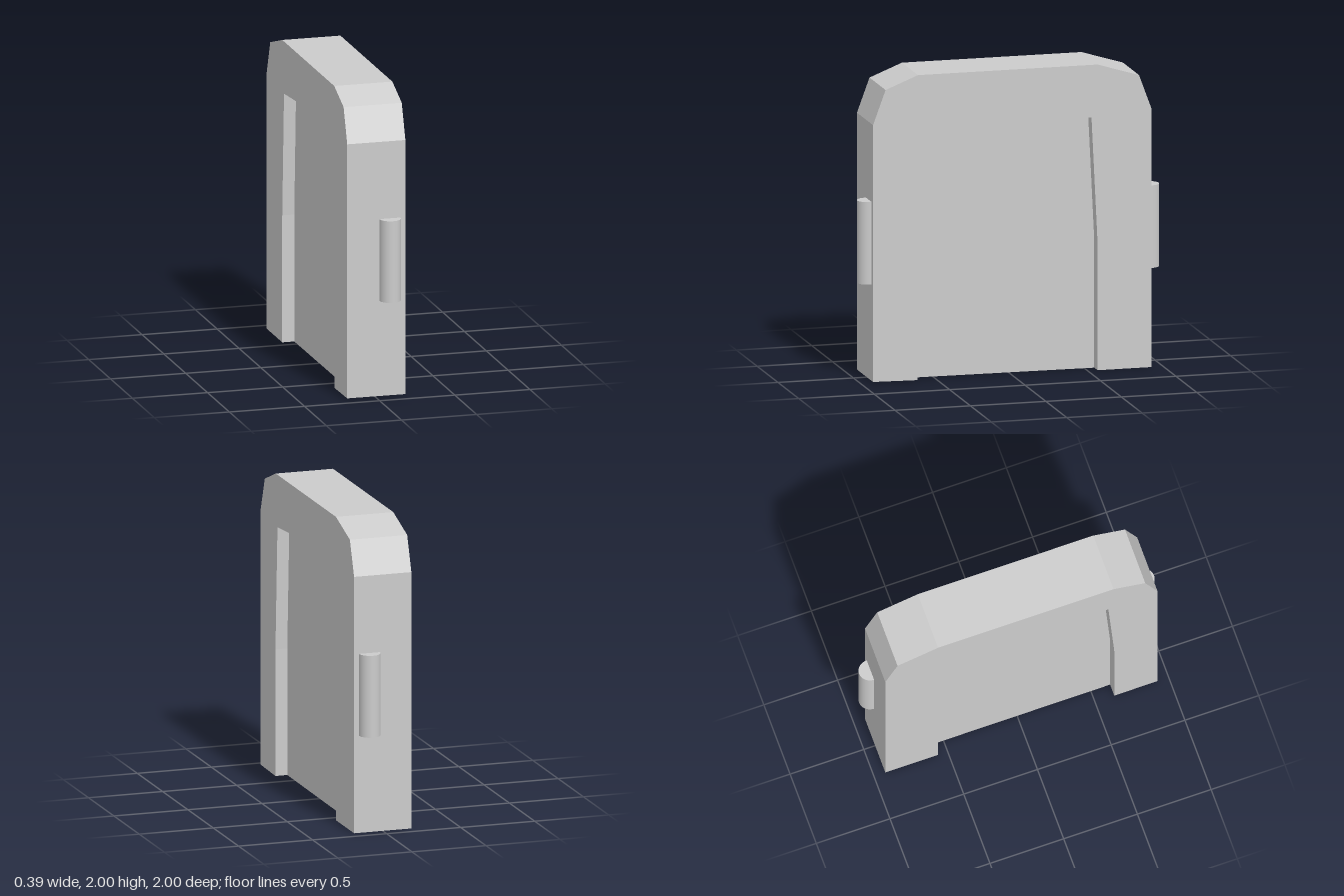
import * as THREE from 'three';

const WIDTH = 0.387;  // full thickness along x
const RECESS = 0.08;  // depth of the sunken panel on each side

export function createModel() {
  const group = new THREE.Group();
  const material = new THREE.MeshStandardMaterial({ color: 0xcccccc, flatShading: true });
  const smooth = new THREE.MeshStandardMaterial({ color: 0xcccccc });

  // Extrude a (z, y) outline along x, centred on x = 0
  const addSlab = (name, points, thickness) => {
    const shape = new THREE.Shape(points.map(([z, y]) => new THREE.Vector2(z, y)));
    const geometry = new THREE.ExtrudeGeometry(shape, { depth: thickness, bevelEnabled: false });
    geometry.translate(0, 0, -thickness / 2);
    geometry.rotateY(-Math.PI / 2);
    const mesh = new THREE.Mesh(geometry, material);
    mesh.name = name;
    group.add(mesh);
  };

  // Opening between the legs, from the back foot over the top to the front foot
  const opening = [
    [-0.565, 0], [-0.565, 0.84], [-0.525, 1.655], [0.02, 1.695],
    [0.59, 1.655], [0.63, 0.84], [0.63, 0.005],
  ];

  // Arched frame with chamfered shoulders
  const outer = [
    [0.923, 0.01], [0.923, 1.69], [0.84, 1.915], [0.625, 2],
    [-0.565, 2], [-0.84, 1.915], [-0.923, 1.69], [-0.923, 0],
  ];
  addSlab('frame', [...outer, ...opening], WIDTH);

  // Panel sunk into both sides of the frame
  addSlab('panel', opening, WIDTH - 2 * RECESS);

  // Half-round grips on the front and back edges
  for (const side of [1, -1]) {
    const geometry = new THREE.CylinderGeometry(0.07, 0.07, 0.54, 24, 1, false, -Math.PI / 2, Math.PI);
    geometry.scale(1, 1, 1.1);
    if (side < 0) geometry.rotateY(Math.PI);
    const grip = new THREE.Mesh(geometry, smooth);
    grip.name = side > 0 ? 'frontGrip' : 'backGrip';
    grip.position.set(0.09, 0.91, side * 0.923);
    group.add(grip);
  }

  return group;
}
